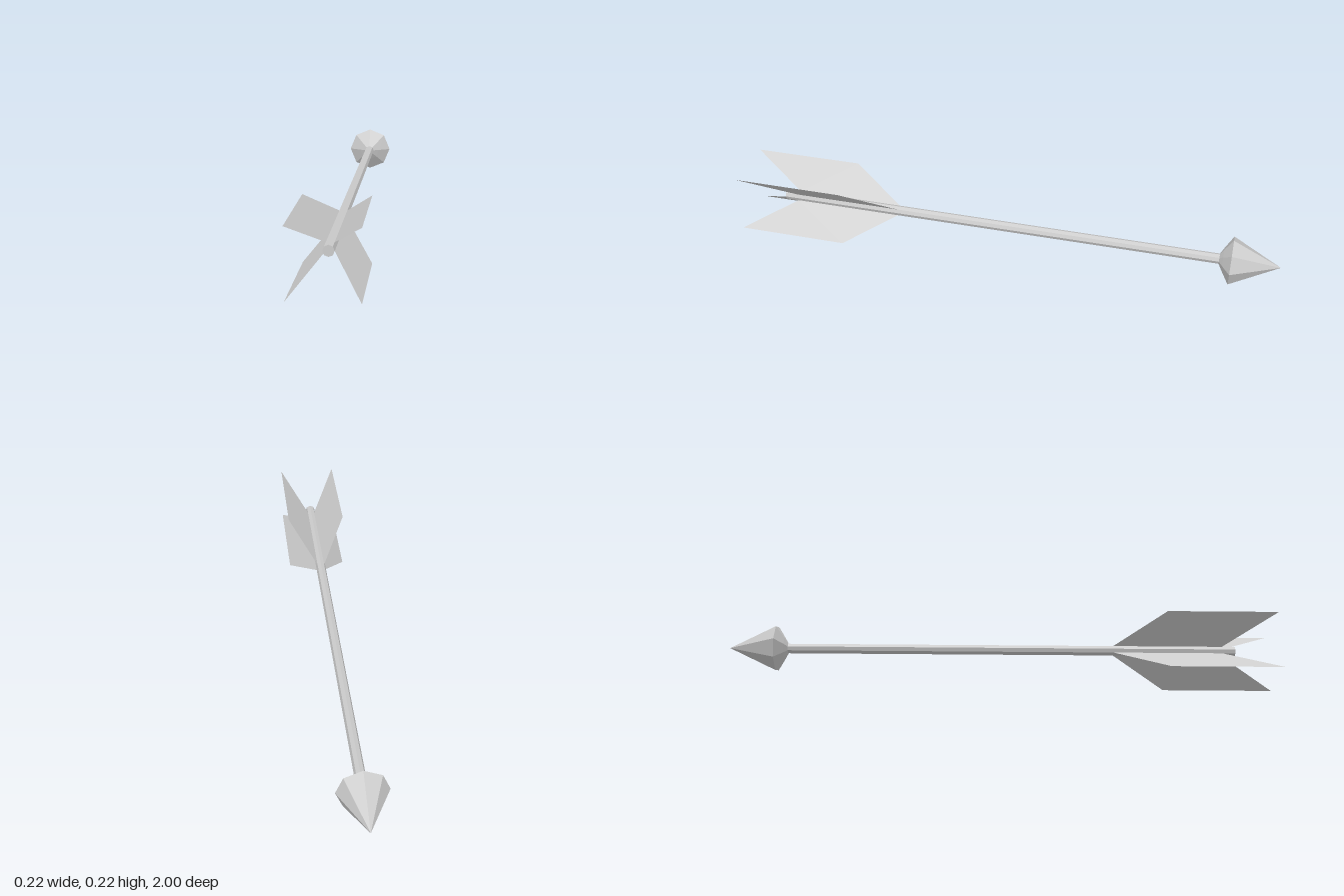
import * as THREE from 'three';

const AXIS_Y = 0.11;   // height of the shaft's centre line
const SIDES = 8;

export function createModel() {
  const group = new THREE.Group();
  group.name = 'arrow';
  const solid = new THREE.MeshStandardMaterial({ color: 0xcccccc, flatShading: true });
  const thin = new THREE.MeshStandardMaterial({ color: 0xcccccc, flatShading: true, side: THREE.DoubleSide });

  // Parts are modelled pointing up +y, then laid down to point along -z
  const add = (name, geometry, material, roll = 0) => {
    geometry.rotateX(-Math.PI / 2).rotateZ(roll).translate(0, AXIS_Y, 0);
    const mesh = new THREE.Mesh(geometry, material);
    mesh.name = name;
    group.add(mesh);
  };

  // Shaft from the tail (z = 0.85) into the head
  const shaft = new THREE.CylinderGeometry(0.0185, 0.0185, 1.65, SIDES);
  add('shaft', shaft.translate(0, -0.025, 0), solid);

  // Faceted head: flared collar, then a long point
  const profile = [[0.018, 0.787], [0.041, 0.8], [0.086, 0.828], [0, 1]]
    .map(([r, y]) => new THREE.Vector2(r, y));
  add('head', new THREE.LatheGeometry(profile, SIDES), solid);

  // Four swept fletchings set diagonally around the tail
  const outline = [[0.017, -0.4], [0.155, -0.595], [0.155, -1], [0.017, -0.8]]
    .map(([r, y]) => new THREE.Vector2(r, y));
  for (let i = 0; i < 4; i++) {
    add('fletching' + (i + 1), new THREE.ShapeGeometry(new THREE.Shape(outline)), thin,
      Math.PI / 4 + i * Math.PI / 2);
  }
  return group;
}
